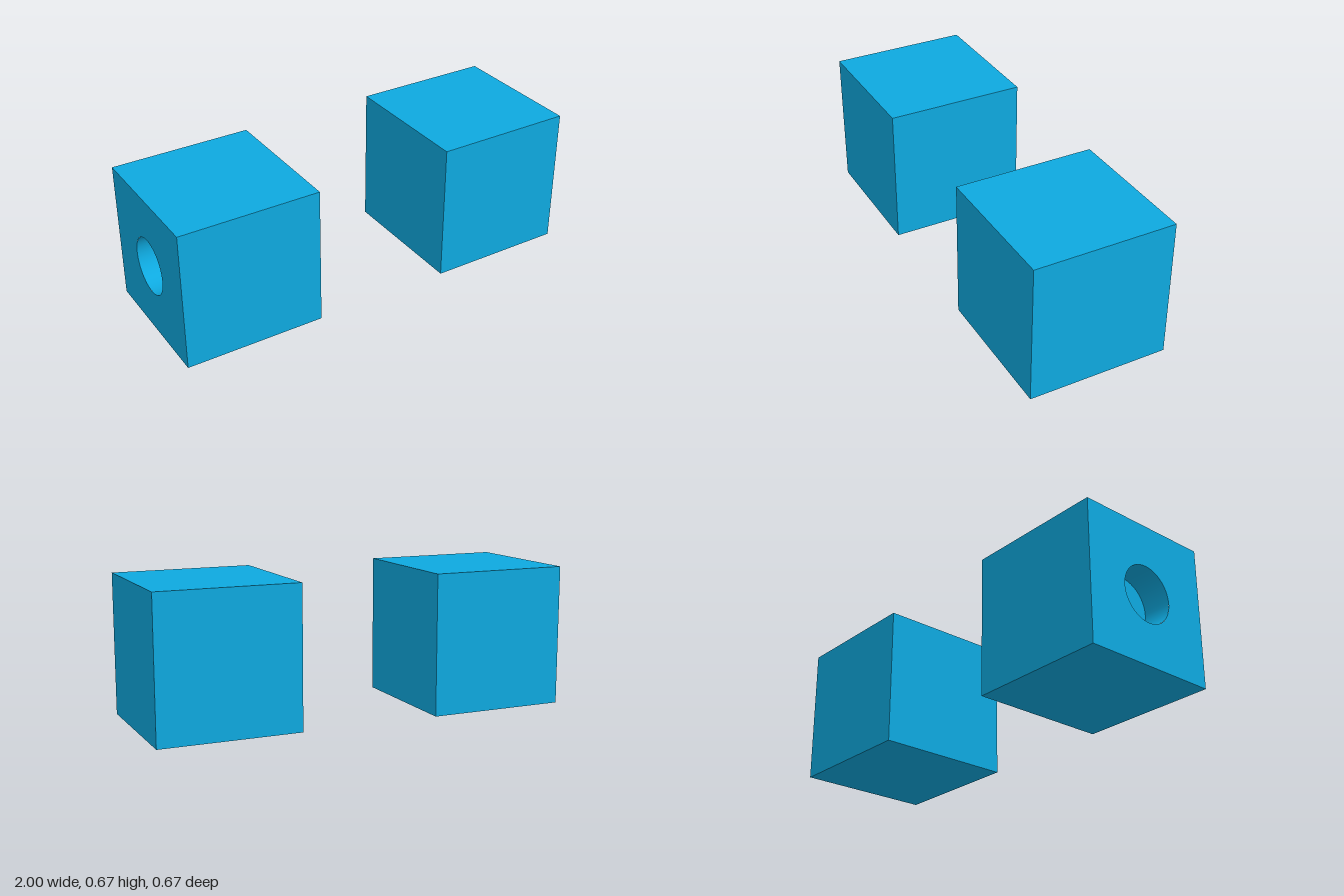
import * as THREE from 'three';

const SIDE = 2 / 3, HALF = SIDE / 2;
const HOLE_R = 0.133, HOLE_DEPTH = 0.133, SEGMENTS = 48;

export function createModel() {
  const model = new THREE.Group();
  const blue = new THREE.MeshStandardMaterial({ color: 0x0ea9df });
  const blueInside = new THREE.MeshStandardMaterial({ color: 0x0ea9df, side: THREE.BackSide });

  function add(parent, name, geometry, material = blue) {
    const mesh = new THREE.Mesh(geometry, material);
    mesh.name = name;
    parent.add(mesh);
    return mesh;
  }

  // Plain cube on the left
  add(model, 'plainCube', new THREE.BoxGeometry(SIDE, SIDE, SIDE)).position.set(SIDE, HALF, 0);

  // Cube on the right, with a round blind hole in its outer face
  const drilled = new THREE.Group();
  drilled.name = 'drilledCube';
  drilled.position.set(-SIDE, HALF, 0);
  model.add(drilled);

  // Five closed faces, each turned from +z to its own direction
  const turn = Math.PI / 2;
  const faces = {
    frontFace: [0, 0], backFace: [0, 2 * turn], innerFace: [0, turn],
    topFace: [-turn, 0], bottomFace: [turn, 0],
  };
  for (const [name, [rx, ry]] of Object.entries(faces)) {
    const face = new THREE.PlaneGeometry(SIDE, SIDE);
    add(drilled, name, face.translate(0, 0, HALF).rotateX(rx).rotateY(ry));
  }

  // Outer face with the round opening
  const square = new THREE.Shape([
    new THREE.Vector2(-HALF, -HALF), new THREE.Vector2(HALF, -HALF),
    new THREE.Vector2(HALF, HALF), new THREE.Vector2(-HALF, HALF),
  ]);
  square.holes.push(new THREE.Path().absarc(0, 0, HOLE_R, 0, 2 * Math.PI, true));
  add(drilled, 'outerFace',
    new THREE.ShapeGeometry(square, SEGMENTS).translate(0, 0, HALF).rotateY(-turn));

  // Wall and floor of the hole
  const wall = new THREE.CylinderGeometry(HOLE_R, HOLE_R, HOLE_DEPTH, SEGMENTS, 1, true);
  add(drilled, 'holeWall',
    wall.rotateZ(turn).translate(-HALF + HOLE_DEPTH / 2, 0, 0), blueInside);
  add(drilled, 'holeFloor',
    new THREE.CircleGeometry(HOLE_R, SEGMENTS).rotateY(-turn).translate(-HALF + HOLE_DEPTH, 0, 0));

  return model;
}
